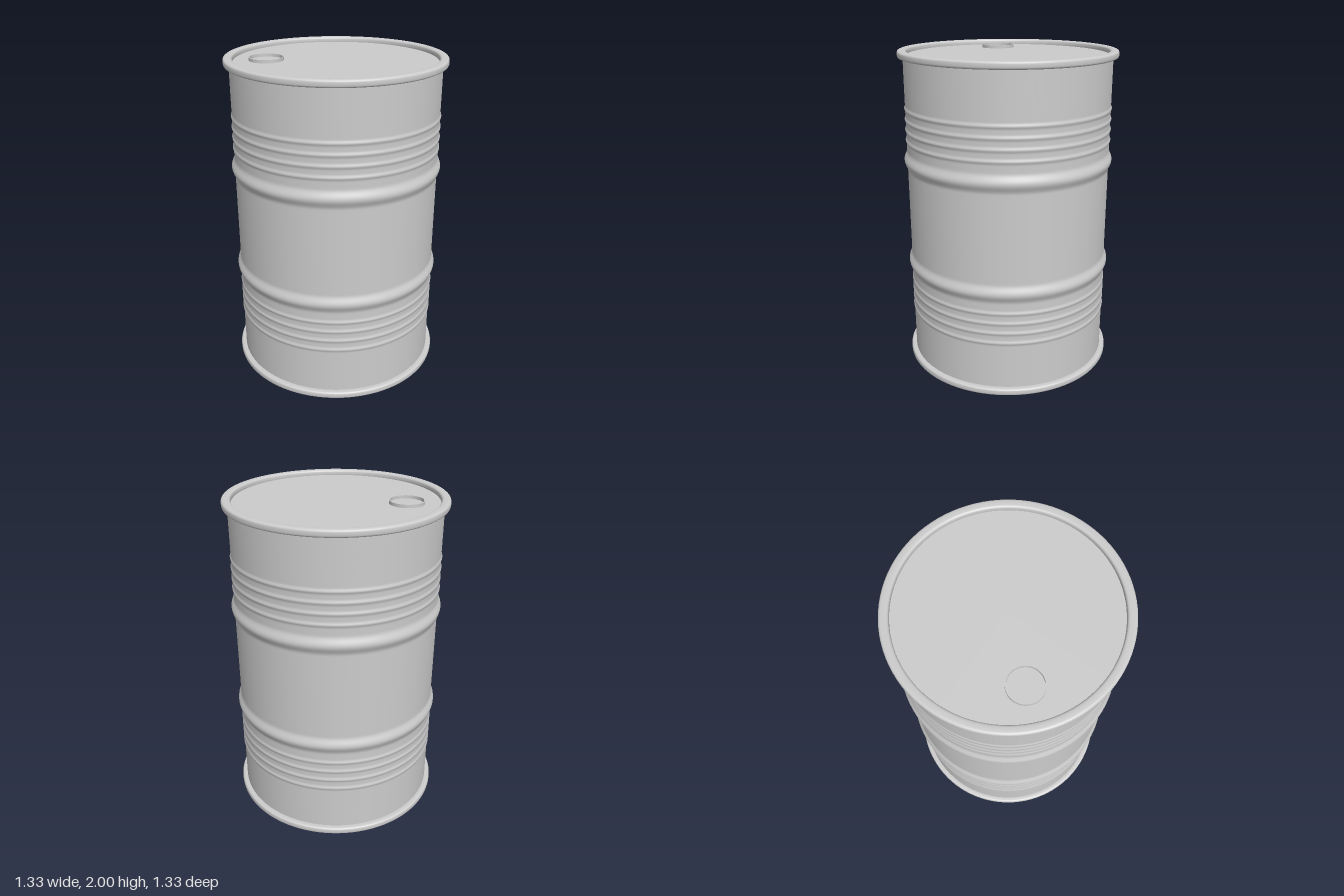
import * as THREE from 'three';

const SEG = 96;
const mat = new THREE.MeshStandardMaterial({ color: 0xcccccc });

function add(parent, name, geometry) {
  const mesh = new THREE.Mesh(geometry, mat);
  mesh.name = name;
  parent.add(mesh);
  return mesh;
}

const lathe = (points, seg = SEG) =>
  new THREE.LatheGeometry(points.map(([r, y]) => new THREE.Vector2(r, y)), seg);

// Smooth bump of a given height and half width
function bump(y, centre, half, height) {
  const t = Math.abs(y - centre) / half;
  return t < 1 ? height * 0.5 * (1 + Math.cos(Math.PI * t)) : 0;
}

// Wall radius at height y: two rolling hoops and two sets of four fine ribs
function wallRadius(y) {
  const d = Math.abs(y - 1);
  let r = 0.632 + bump(d, 0.335, 0.062, 0.019);
  for (let i = 0; i < 4; i++) r += bump(d, 0.46 + i * 0.065, 0.017, 0.006);
  return r;
}

// Rolled rim: rounded rectangular section, swept round the drum
function rimProfile(y0, y1, r0, r1) {
  const pts = [];
  const n = 28;
  const soft = (v) => Math.sign(v) * Math.pow(Math.abs(v), 0.6);
  for (let i = 0; i <= n; i++) {
    const a = (i / n) * Math.PI * 2 - Math.PI;
    pts.push([
      (r0 + r1) / 2 + ((r1 - r0) / 2) * soft(Math.cos(a)),
      (y0 + y1) / 2 + ((y1 - y0) / 2) * soft(Math.sin(a)),
    ]);
  }
  return pts;
}

export function createModel() {
  const drum = new THREE.Group();
  drum.name = 'drum';

  // Ribbed wall, sampled finely only where the profile curves
  const wall = [[0.632, 0.02]];
  for (let y = 0.3; y < 0.745; y += 0.0075) wall.push([wallRadius(y), y]);
  const upper = wall.map(([r, y]) => [r, 2 - y]).reverse();
  add(drum, 'wall', lathe([...wall, ...upper]));

  // Rims and recessed end plates
  add(drum, 'topRim', lathe(rimProfile(1.955, 2, 0.61, 0.665)));
  add(drum, 'bottomRim', lathe(rimProfile(0, 0.045, 0.61, 0.665)));
  const lid = add(drum, 'lid', new THREE.CircleGeometry(0.63, SEG));
  lid.rotation.x = -Math.PI / 2;
  lid.position.y = 1.968;
  const base = add(drum, 'base', new THREE.CircleGeometry(0.63, SEG));
  base.rotation.x = Math.PI / 2;
  base.position.y = 0.025;

  // Filler opening: a thin collar standing on the lid
  const ring = new THREE.Shape().absarc(0, 0, 0.104, 0, Math.PI * 2);
  ring.holes.push(new THREE.Path().absarc(0, 0, 0.098, 0, Math.PI * 2, true));
  const collar = add(drum, 'fillerCollar', new THREE.ExtrudeGeometry(ring, {
    depth: 0.025, bevelEnabled: false, curveSegments: 32,
  }));
  collar.rotation.x = -Math.PI / 2;
  collar.position.set(-0.413, 1.962, 0);

  return drum;
}
